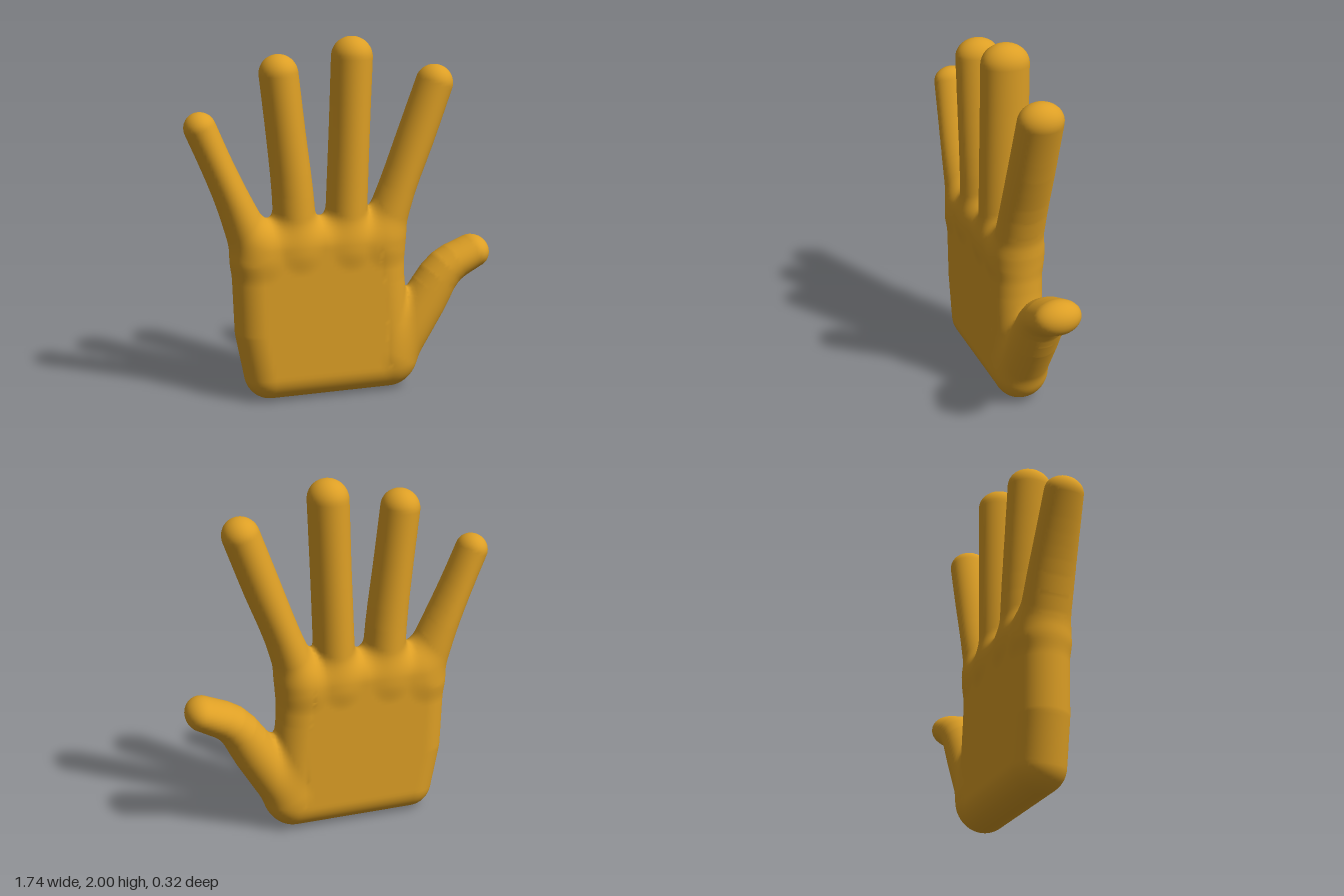
import * as THREE from 'three';

const PALM_RADIUS = 0.145, BLEND = 0.06, CELL = 0.02;

// Each digit: points of (x, y, radius) from base to tip, and half depth at base and tip
const digits = [
  { pts: [[-0.49, 0.82, 0.13], [-0.615, 1.13, 0.095], [-0.7, 1.33, 0.086], [-0.787, 1.535, 0.086]], depth: [0.14, 0.108] }, // little
  { pts: [[-0.27, 0.85, 0.12], [-0.285, 1.15, 0.112], [-0.32, 1.48, 0.106], [-0.357, 1.808, 0.105]], depth: [0.138, 0.125] }, // ring
  { pts: [[0.015, 0.85, 0.115], [0.025, 1.15, 0.112], [0.038, 1.5, 0.11], [0.052, 1.888, 0.111]], depth: [0.138, 0.132] }, // middle
  { pts: [[0.21, 0.85, 0.125], [0.315, 1.15, 0.1], [0.42, 1.43, 0.102], [0.53, 1.733, 0.101]], depth: [0.138, 0.122] }, // index
  { pts: [[0.31, 0.2, 0.13], [0.483, 0.48, 0.125], [0.61, 0.668, 0.107], [0.775, 0.757, 0.094]], depth: [0.138, 0.13] }, // thumb
].map(({ pts, depth }) => {
  const curve = new THREE.CatmullRomCurve3(pts.map(p => new THREE.Vector3(...p)));
  return { nodes: curve.getPoints(9), depth };
});

// Flat core of the palm, rounded outward by PALM_RADIUS
const palmCore = [[-0.425, 0.147], [0.27, 0.147], [0.235, 0.4], [0.212, 0.65], [0.205, 0.87], [-0.45, 0.87], [-0.485, 0.78], [-0.473, 0.4]];

const clamp01 = t => Math.min(1, Math.max(0, t));

function digitDistance({ nodes, depth }, x, y, z) {
  let best = Infinity;
  const n = nodes.length - 1;
  for (let i = 0; i < n; i++) {
    const a = nodes[i], b = nodes[i + 1];
    const ex = b.x - a.x, ey = b.y - a.y;
    const t = clamp01(((x - a.x) * ex + (y - a.y) * ey) / (ex * ex + ey * ey));
    const r = a.z + (b.z - a.z) * t;
    const d = depth[0] + (depth[1] - depth[0]) * (i + t) / n;
    best = Math.min(best, Math.hypot(x - a.x - ex * t, y - a.y - ey * t, z * r / d) - r);
  }
  return best;
}

function palmDistance(x, y, z) {
  let d = Infinity, inside = true;
  palmCore.forEach(([ax, ay], i) => {
    const [bx, by] = palmCore[(i + 1) % palmCore.length];
    const ex = bx - ax, ey = by - ay;
    const t = clamp01(((x - ax) * ex + (y - ay) * ey) / (ex * ex + ey * ey));
    d = Math.min(d, Math.hypot(x - ax - ex * t, y - ay - ey * t));
    if (ex * (y - ay) - ey * (x - ax) < 0) inside = false;
  });
  return Math.hypot(inside ? 0 : d, z) - PALM_RADIUS;
}

// Palm and digits joined with soft webs
function handDistance(x, y, z) {
  let d = palmDistance(x, y, z);
  for (const digit of digits) {
    const e = digitDistance(digit, x, y, z);
    const h = Math.max(BLEND - Math.abs(d - e), 0) / BLEND;
    d = Math.min(d, e) - h * h * BLEND / 4;
  }
  return d;
}

function gradient(p) {
  const e = 0.004, f = handDistance;
  return new THREE.Vector3(
    f(p.x + e, p.y, p.z) - f(p.x - e, p.y, p.z),
    f(p.x, p.y + e, p.z) - f(p.x, p.y - e, p.z),
    f(p.x, p.y, p.z + e) - f(p.x, p.y, p.z - e)).divideScalar(2 * e);
}

// Wrap a closed quad skin around the zero level of a distance function
function skinGeometry(min, max) {
  const size = [0, 1, 2].map(a => Math.ceil((max[a] - min[a]) / CELL) + 1);
  const step = [1, size[0], size[0] * size[1]];
  const field = new Float32Array(size[0] * size[1] * size[2]);
  const eachPoint = (start, end, fn) => {
    for (let k = start; k < size[2] - end; k++)
      for (let j = start; j < size[1] - end; j++)
        for (let i = start; i < size[0] - end; i++) fn(i, j, k, i + j * step[1] + k * step[2]);
  };
  eachPoint(0, 0, (i, j, k, id) => {
    field[id] = handDistance(min[0] + i * CELL, min[1] + j * CELL, min[2] + k * CELL);
  });

  // One vertex in each cell the surface crosses, pulled onto the surface
  const vertexOf = new Int32Array(field.length).fill(-1);
  const positions = [], normals = [], index = [];
  eachPoint(0, 1, (i, j, k, id) => {
    let count = 0;
    for (let c = 0; c < 8; c++)
      if (field[id + (c & 1) + (c >> 1 & 1) * step[1] + (c >> 2) * step[2]] < 0) count++;
    if (count === 0 || count === 8) return;
    const p = new THREE.Vector3(min[0] + (i + 0.5) * CELL, min[1] + (j + 0.5) * CELL, min[2] + (k + 0.5) * CELL);
    for (let pass = 0; pass < 3; pass++) {
      const g = gradient(p);
      p.addScaledVector(g, -handDistance(p.x, p.y, p.z) / Math.max(g.lengthSq(), 0.3));
    }
    vertexOf[id] = positions.length / 3;
    positions.push(p.x, p.y, p.z);
    normals.push(...gradient(p).normalize().toArray());
  });

  // One quad around each grid edge the surface crosses
  eachPoint(1, 1, (i, j, k, id) => {
    for (let a = 0; a < 3; a++) {
      const inside = field[id] < 0;
      if (inside === field[id + step[a]] < 0) continue;
      const u = step[(a + 1) % 3], v = step[(a + 2) % 3];
      const q = [id - u - v, id - v, id, id - u].map(c => vertexOf[c]);
      if (!inside) q.reverse();
      index.push(q[0], q[1], q[2], q[0], q[2], q[3]);
    }
  });

  const geometry = new THREE.BufferGeometry();
  geometry.setAttribute('position', new THREE.Float32BufferAttribute(positions, 3));
  geometry.setAttribute('normal', new THREE.Float32BufferAttribute(normals, 3));
  geometry.setIndex(index);
  return geometry;
}

export function createModel() {
  const group = new THREE.Group();
  group.name = 'openHand';

  const golden = new THREE.MeshStandardMaterial({ color: 0xdd9f25 });
  golden.name = 'golden';

  // Palm, four fingers and thumb as one smooth skin
  const hand = new THREE.Mesh(skinGeometry([-0.951, -0.051, -0.211], [0.951, 2.071, 0.211]), golden);
  hand.name = 'hand';
  group.add(hand);
  return group;
}
